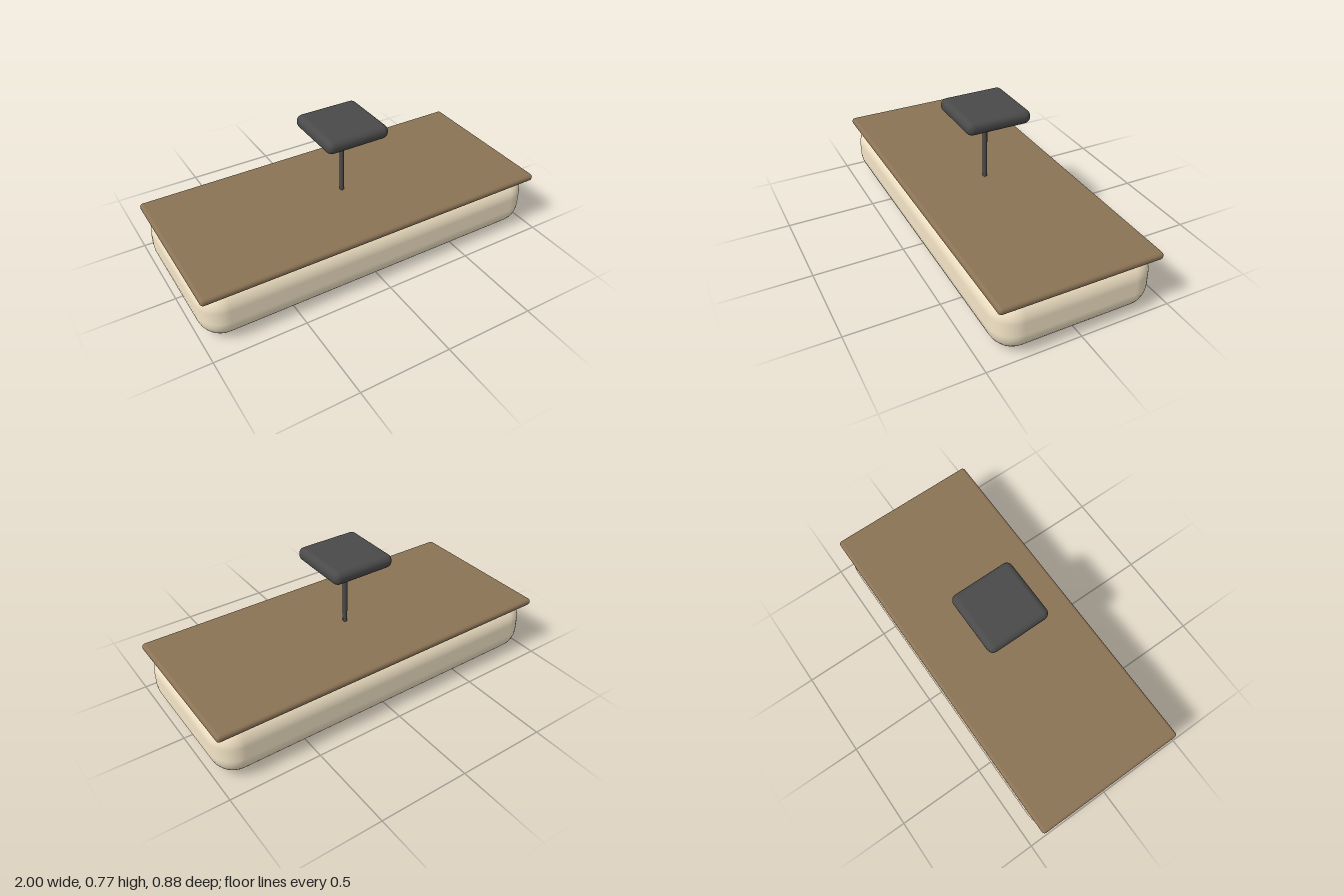
import * as THREE from 'three';
import { RoundedBoxGeometry } from 'three/addons/geometries/RoundedBoxGeometry.js';

const mat = (color) => new THREE.MeshStandardMaterial({ color });

export function createModel() {
  const model = new THREE.Group();
  model.name = 'model';
  const cream = mat(0xf5e6c8);
  const wood = mat(0x8b7355);
  const dark = mat(0x4a4a4a);

  const add = (name, geometry, material, y) => {
    const mesh = new THREE.Mesh(geometry, material);
    mesh.name = name;
    mesh.position.y = y;
    model.add(mesh);
  };
  // Rounded slab spanning y0..y1
  const slab = (name, w, d, y0, y1, r, segments, material) =>
    add(name, new RoundedBoxGeometry(w, y1 - y0, d, segments, r), material, (y0 + y1) / 2);

  // Soft base, its top sunk into the board
  slab('base', 1.985, 0.86, 0, 0.33, 0.13, 4, cream);
  // Thin wooden board
  slab('board', 2, 0.875, 0.295, 0.335, 0.018, 4, wood);
  // Slim post, sunk into the board and the pad
  add('post', new THREE.CylinderGeometry(0.0125, 0.0125, 0.4, 16), dark, 0.52);
  // Square pad on top of the post
  slab('pad', 0.363, 0.363, 0.692, 0.767, 0.035, 4, dark);

  return model;
}
